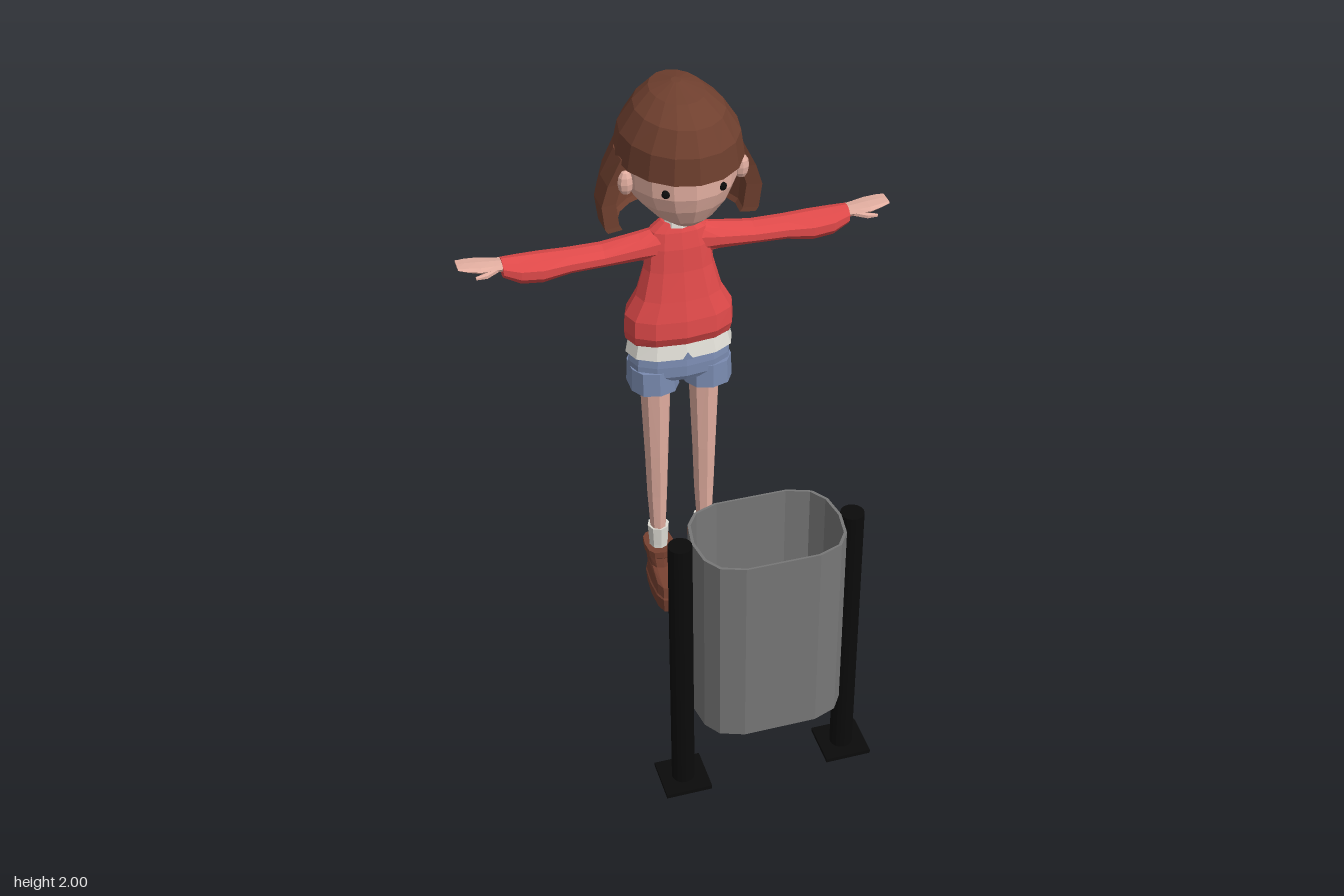
import * as THREE from 'three';

const mat = (color, extra = {}) => new THREE.MeshStandardMaterial({ color, flatShading: true, ...extra });
const M = {
  hair: mat(0x70402f), skin: mat(0xe2aea0), red: mat(0xe04a4a), white: mat(0xdedcd4),
  denim: mat(0x7a8bb0), boot: mat(0x754030), black: mat(0x0b0b0b), grey: mat(0x777777),
};
const pow = (v, p) => Math.sign(v) * Math.abs(v) ** p;

// Horizontal ring (axis y); p < 1 makes it boxier
const ringY = (y, cx, cz, rx, rz, n = 12, p = 1) => Array.from({ length: n }, (_, i) => {
  const a = i / n * Math.PI * 2;
  return new THREE.Vector3(cx + pow(Math.sin(a), p) * rx, y, cz + pow(Math.cos(a), p) * rz);
});
// Upright ring (axis x)
const ringX = (x, cy, cz, ry, rz, n = 8, p = 1) => Array.from({ length: n }, (_, i) => {
  const a = i / n * Math.PI * 2;
  return new THREE.Vector3(x, cy + pow(Math.cos(a), p) * ry, cz + pow(Math.sin(a), p) * rz);
});
// C-shaped ring: outer arc around the back, then the inner arc returning
const ringC = (y, cz, rx, rz, t, k = 11) => {
  const arc = (s) => Array.from({ length: k }, (_, i) => {
    const a = (78 + 204 * i / (k - 1)) * Math.PI / 180;
    return new THREE.Vector3(Math.sin(a) * (rx - s), y, cz + Math.cos(a) * (rz - s));
  });
  return [...arc(0), ...arc(t).reverse()];
};

// Skin through rings, closed at both ends; flip mirrors it to -x
function loft(rings, flip = false) {
  const pos = [];
  const tri = (a, b, c) => (flip ? [a, c, b] : [a, b, c]).forEach((v) => pos.push(flip ? -v.x : v.x, v.y, v.z));
  const quad = (a, b, c, d) => { tri(a, b, c); tri(a, c, d); };
  const n = rings[0].length;
  for (let i = 0; i < rings.length - 1; i++)
    for (let j = 0; j < n; j++) {
      const k = (j + 1) % n;
      quad(rings[i][j], rings[i][k], rings[i + 1][k], rings[i + 1][j]);
    }
  const s = rings[0], e = rings[rings.length - 1];
  for (let i = 0; i < n / 2 - 1; i++) {
    quad(e[i], e[i + 1], e[n - 2 - i], e[n - 1 - i]);
    quad(s[n - 1 - i], s[n - 2 - i], s[i + 1], s[i]);
  }
  const g = new THREE.BufferGeometry();
  g.setAttribute('position', new THREE.Float32BufferAttribute(pos, 3));
  g.computeVertexNormals();
  return g;
}

function add(parent, name, geo, material, x = 0, y = 0, z = 0) {
  const m = new THREE.Mesh(geo, material);
  m.name = name;
  m.position.set(x, y, z);
  parent.add(m);
  return m;
}
const addPair = (parent, name, rings, material) => {
  add(parent, 'left' + name, loft(rings), material);
  add(parent, 'right' + name, loft(rings, true), material);
};

function makeBin() {
  const bin = new THREE.Group();
  bin.name = 'litterBin';
  const quarter = [[0.235, 0], [0.222, 0.085], [0.188, 0.135], [0.115, 0.162]];
  const half = [...quarter, ...quarter.slice(1).reverse().map(([x, y]) => [-x, y])];
  const outline = (s) => [...half, ...half.map(([x, y]) => [-x, -y])].concat([]).map(([x, y]) => new THREE.Vector2(x * s, y * s));
  const shape = new THREE.Shape(outline(1));
  shape.holes.push(new THREE.Path(outline(0.96)));
  const wall = new THREE.ExtrudeGeometry(shape, { depth: 0.67, bevelEnabled: false }).rotateX(-Math.PI / 2);
  add(bin, 'binWall', wall, M.grey, 0, 0.305, 0.505);
  const floor = new THREE.ExtrudeGeometry(new THREE.Shape(outline(0.965)), { depth: 0.01, bevelEnabled: false }).rotateX(-Math.PI / 2);
  add(bin, 'binFloor', floor, M.grey, 0, 0.305, 0.505);
  for (const s of [-1, 1]) {
    add(bin, 'post', new THREE.CylinderGeometry(0.037, 0.037, 0.97, 16), M.black, s * 0.27, 0.49, 0.505);
    add(bin, 'footPlate', new THREE.BoxGeometry(0.15, 0.014, 0.15), M.black, s * 0.27, 0.007, 0.505);
  }
  return bin;
}

function makeHead() {
  const head = new THREE.Group();
  head.name = 'head';
  // y, centre z, half width, half depth
  add(head, 'face', loft([
    [1.565, -0.35, 0.05, 0.06], [1.595, -0.37, 0.1, 0.115], [1.65, -0.395, 0.155, 0.17],
    [1.70, -0.4, 0.177, 0.19], [1.80, -0.4, 0.18, 0.19],
  ].map(([y, z, a, b]) => ringY(y, 0, z, a, b, 16))), M.skin);
  add(head, 'neck', new THREE.CylinderGeometry(0.032, 0.036, 0.14, 8), M.skin, 0, 1.55, -0.435);
  for (const s of [-1, 1]) {
    add(head, 'eye', new THREE.SphereGeometry(0.014, 8, 6), M.black, s * 0.09, 1.72, -0.24);
    add(head, 'ear', new THREE.SphereGeometry(1, 8, 6).scale(0.026, 0.042, 0.022), M.skin, s * 0.186, 1.715, -0.355);
  }
  add(head, 'hairCap', loft([
    [1.772, -0.417, 0.203, 0.246], [1.86, -0.406, 0.188, 0.228], [1.935, -0.402, 0.14, 0.186],
    [1.978, -0.425, 0.085, 0.122], [2.0, -0.43, 0.015, 0.02],
  ].map(([y, z, a, b]) => ringY(y, 0, z, a, b, 16))), M.hair);
  add(head, 'hairSides', loft([
    [1.53, -0.42, 0.247, 0.212], [1.545, -0.42, 0.257, 0.22], [1.63, -0.42, 0.267, 0.243],
    [1.70, -0.42, 0.245, 0.248], [1.79, -0.415, 0.2, 0.242],
  ].map(([y, z, a, b]) => ringC(y, z, a, b, 0.05))), M.hair);
  return head;
}

function makeBody() {
  const body = new THREE.Group();
  body.name = 'body';
  add(body, 'sweater', loft([
    [1.075, -0.443, 0.172, 0.088], [1.085, -0.443, 0.182, 0.096], [1.12, -0.438, 0.187, 0.108],
    [1.18, -0.438, 0.183, 0.104], [1.25, -0.434, 0.145, 0.086], [1.35, -0.432, 0.118, 0.066],
    [1.43, -0.432, 0.108, 0.058], [1.485, -0.435, 0.095, 0.048], [1.515, -0.437, 0.055, 0.038],
  ].map(([y, z, a, b]) => ringY(y, 0, z, a, b, 12, 0.85))), M.red);
  add(body, 'collar', new THREE.CylinderGeometry(0.044, 0.052, 0.03, 10), M.white, 0, 1.517, -0.437);
  add(body, 'shirtHem', loft([
    ringY(1.035, 0, -0.438, 0.184, 0.104, 12, 0.85), ringY(1.09, 0, -0.44, 0.17, 0.092, 12, 0.85),
  ]), M.white);
  const notch = new THREE.Shape([[-0.02, 0], [0.02, 0], [0, 0.03]].map((p) => new THREE.Vector2(...p)));
  add(body, 'hemNotch', new THREE.ShapeGeometry(notch), mat(0x7a8bb0, { side: THREE.DoubleSide }), 0, 1.034, -0.331);

  // Sleeves: x, centre y, centre z, half height, half depth
  addPair(body, 'Sleeve', [
    [0.06, 1.435, -0.434, 0.06, 0.045], [0.13, 1.432, -0.436, 0.046, 0.05], [0.25, 1.42, -0.44, 0.037, 0.05],
    [0.36, 1.418, -0.44, 0.038, 0.052], [0.45, 1.41, -0.442, 0.048, 0.058], [0.52, 1.415, -0.44, 0.046, 0.052],
    [0.575, 1.433, -0.436, 0.032, 0.037],
  ].map((r) => ringX(...r, 10)), M.red);
  addPair(body, 'Hand', [
    [0.56, 1.442, -0.437, 0.015, 0.03], [0.6, 1.445, -0.437, 0.015, 0.036], [0.645, 1.45, -0.438, 0.014, 0.044],
    [0.69, 1.456, -0.442, 0.009, 0.04], [0.715, 1.46, -0.443, 0.004, 0.033],
  ].map((r) => ringX(...r, 8, 0.75)), M.skin);
  addPair(body, 'Thumb', [
    [0.59, 1.441, -0.415, 0.01, 0.012], [0.63, 1.436, -0.395, 0.01, 0.012], [0.665, 1.436, -0.388, 0.005, 0.007],
  ].map((r) => ringX(...r, 6)), M.skin);

  // Shorts
  add(body, 'shortsHips', loft([
    [0.94, 0.168, 0.085], [0.96, 0.176, 0.096], [1.0, 0.176, 0.097], [1.06, 0.165, 0.09],
  ].map(([y, a, b]) => ringY(y, 0, -0.44, a, b, 12, 0.85))), M.denim);
  addPair(body, 'ShortsLeg', [
    [0.935, 0.07, 0.08], [0.895, 0.078, 0.09], [0.895, 0.086, 0.098], [0.98, 0.083, 0.094],
  ].map(([y, a, b]) => ringY(y, 0.092, -0.442, a, b, 10, 0.85)), M.denim);

  // Legs, socks and boots
  addPair(body, 'Leg', [
    [0.25, -0.44, 0.027, 0.032], [0.42, -0.442, 0.036, 0.04], [0.6, -0.438, 0.042, 0.045], [0.95, -0.435, 0.056, 0.056],
  ].map(([y, z, a, b]) => ringY(y, 0.085, z, a, b, 8)), M.skin);
  addPair(body, 'Sock', [
    [0.16, -0.442, 0.032, 0.036], [0.2, -0.442, 0.034, 0.036], [0.275, -0.442, 0.039, 0.04],
  ].map(([y, z, a, b]) => ringY(y, 0.084, z, a, b, 8)), M.white);
  addPair(body, 'Boot', [
    [0, -0.389, 0.046, 0.118], [0.055, -0.389, 0.051, 0.122], [0.06, -0.39, 0.047, 0.118],
    [0.098, -0.393, 0.044, 0.11], [0.122, -0.442, 0.042, 0.066], [0.155, -0.447, 0.047, 0.062],
    [0.16, -0.448, 0.052, 0.067], [0.187, -0.448, 0.052, 0.067],
  ].map(([y, z, a, b]) => ringY(y, 0.082, z, a, b, 12, 0.7)), M.boot);
  return body;
}

export function createModel() {
  const model = new THREE.Group();
  model.name = 'girlAndLitterBin';
  model.add(makeBin(), makeHead(), makeBody());
  return model;
}
